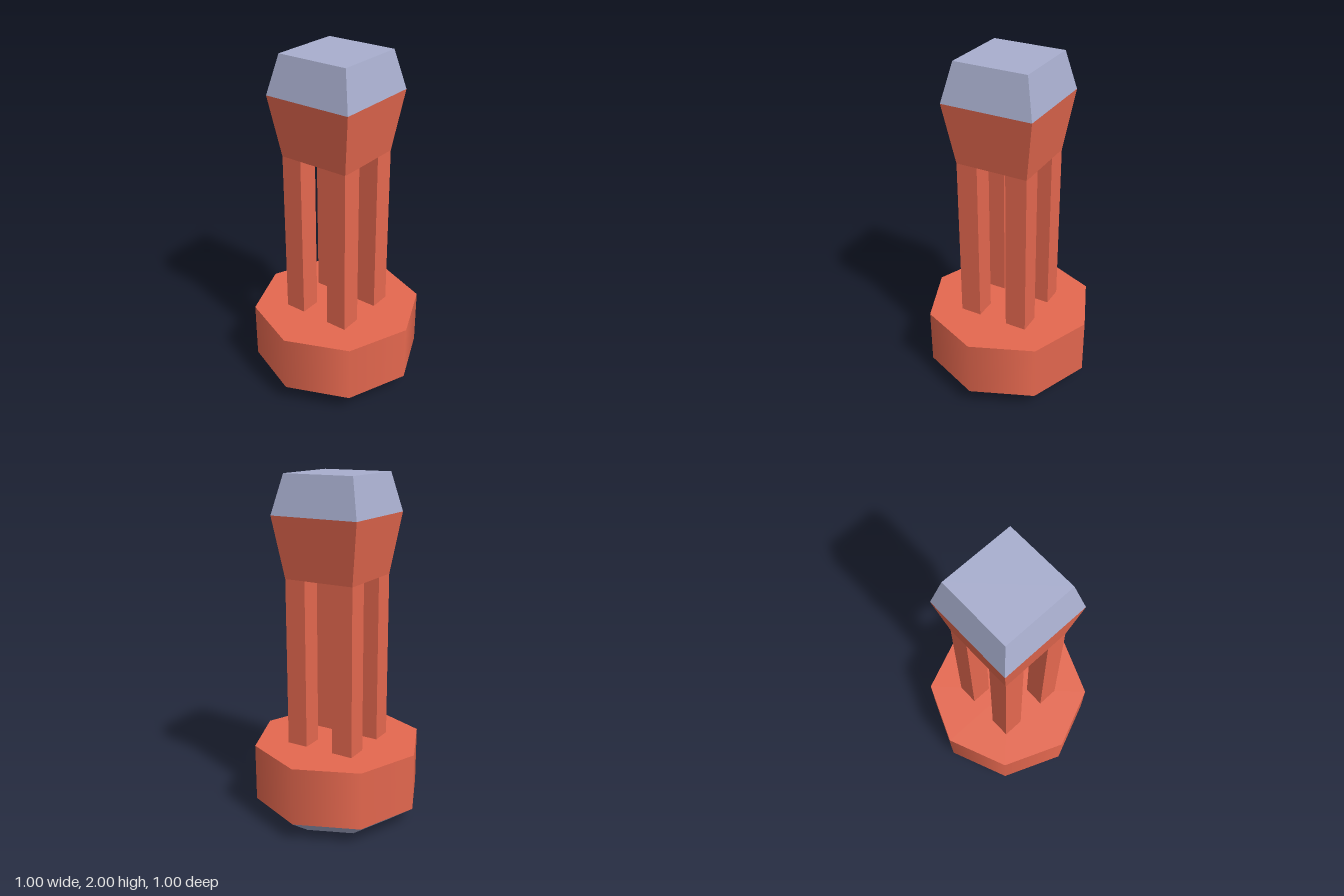
import * as THREE from 'three';

export function createModel() {
  const group = new THREE.Group();
  group.name = 'buoy';

  const red = new THREE.MeshStandardMaterial({ color: 0xe5684f });
  red.name = 'red';
  const greyBlue = new THREE.MeshStandardMaterial({ color: 0xa8aece });
  greyBlue.name = 'greyBlue';

  function add(name, geometry, material, x = 0, y = 0, z = 0) {
    const mesh = new THREE.Mesh(geometry, material);
    mesh.name = name;
    mesh.position.set(x, y, z);
    group.add(mesh);
  }

  // Smooth eight-sided drum between two heights
  const drum = (rTop, rBottom, y0, y1) =>
    new THREE.CylinderGeometry(rTop, rBottom, y1 - y0, 8).translate(0, (y0 + y1) / 2, 0);

  // Flat-faced square frustum, sized by half widths
  function frustum(halfTop, halfBottom, y0, y1) {
    const g = new THREE.CylinderGeometry(halfTop * Math.SQRT2, halfBottom * Math.SQRT2, y1 - y0, 4)
      .rotateY(Math.PI / 4)
      .translate(0, (y0 + y1) / 2, 0)
      .toNonIndexed();
    g.computeVertexNormals();
    return g;
  }

  // Floating base with tapered keel
  add('keel', drum(0.5, 0.35, 0, 0.11), greyBlue);
  add('float', drum(0.5, 0.5, 0.11, 0.45), red);

  // Four corner posts
  const inner = 0.087, outer = 0.213;
  const width = outer - inner, mid = (outer + inner) / 2;
  const post = new THREE.BoxGeometry(width, 0.98, width);
  for (const sx of [-1, 1])
    for (const sz of [-1, 1]) add('post', post, red, sx * mid, 0.94, sz * mid);

  // Flared head and cap
  add('head', frustum(0.265, 0.213, 1.43, 1.78), red);
  add('cap', frustum(0.213, 0.265, 1.78, 2), greyBlue);

  return group;
}
